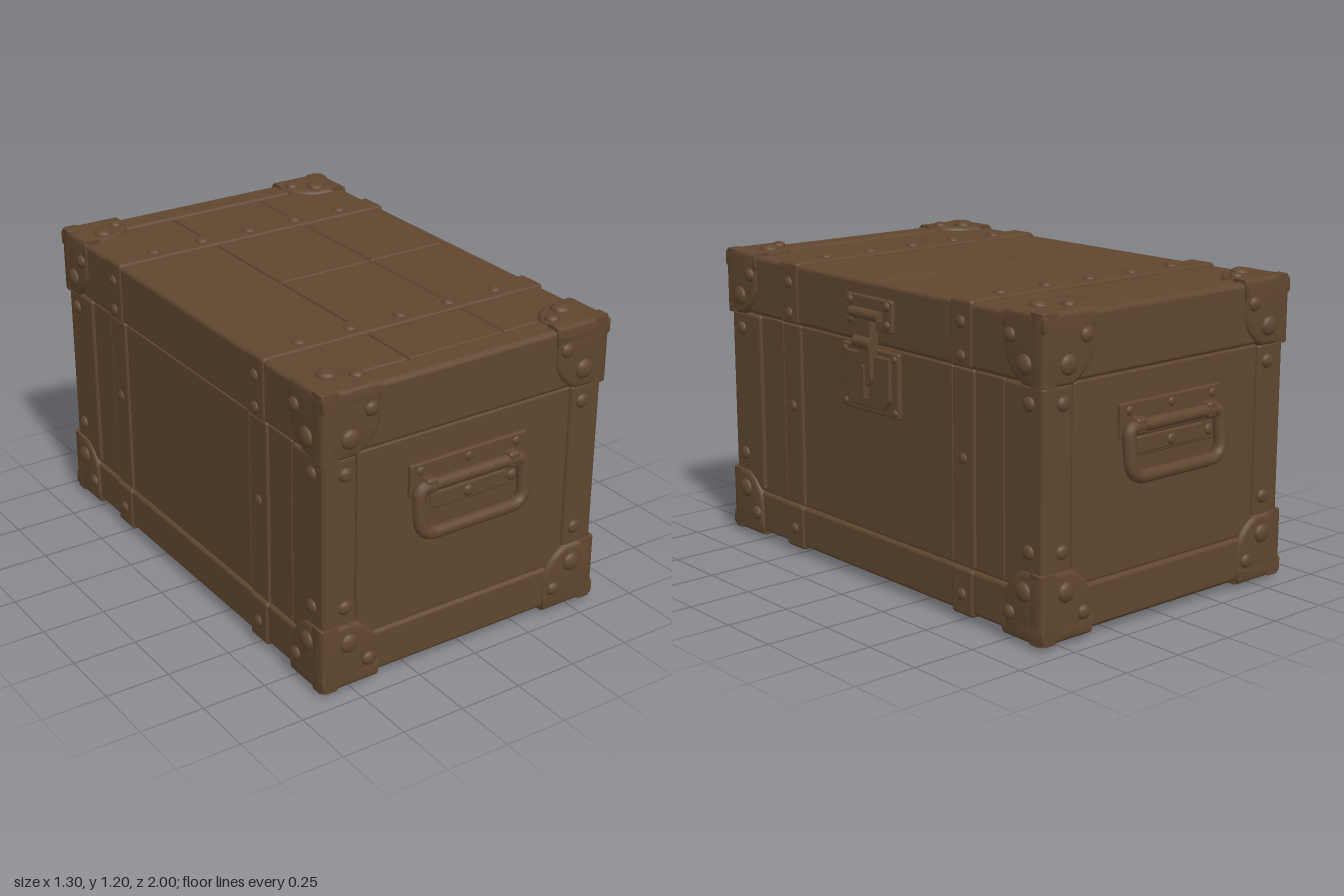
import * as THREE from 'three';
import { RoundedBoxGeometry } from 'three/addons/geometries/RoundedBoxGeometry.js';
import { toCreasedNormals } from 'three/addons/utils/BufferGeometryUtils.js';

const HX = 0.603, HZ = 0.93, Y0 = 0.03, Y1 = 1.163; // outer plank surfaces
const LID = 0.928, RAIL = 0.2, GAP = 0.004;
const CAP = 0.013, STRAP = 0.009;

export function createModel() {
  const brown = new THREE.MeshStandardMaterial({ color: 0x5f462f });
  brown.name = 'dark brown';
  const model = new THREE.Group();
  model.name = 'chest';
  const chest = new THREE.Group();
  chest.name = 'chestBody';
  chest.position.x = -0.015;
  model.add(chest);

  const add = (parent, name, geo, x = 0, y = 0, z = 0) => {
    const m = new THREE.Mesh(geo, brown);
    m.name = name;
    m.position.set(x, y, z);
    parent.add(m);
    return m;
  };

  // A face group has u = x, v = y and outward = z
  const face = (name, pos, rx, ry) => {
    const g = new THREE.Group();
    g.name = name;
    g.position.set(...pos);
    g.rotation.set(rx, ry, 0);
    chest.add(g);
    return g;
  };

  // Plate lying on a face, its outer surface at height h
  const plate = (f, name, u0, u1, v0, v1, h = 0, radius = 0.008, base = -0.04) =>
    add(f, name, new RoundedBoxGeometry(u1 - u0 - GAP, v1 - v0 - GAP, h - base, 2, radius),
      (u0 + u1) / 2, (v0 + v1) / 2, (h + base) / 2);

  // Domed rivet
  const dome = new THREE.SphereGeometry(1, 14, 6, 0, Math.PI * 2, 0, Math.PI / 2).rotateX(Math.PI / 2);
  const rivet = (f, u, v, h, r = 0.028, tall = 0.018) =>
    add(f, 'rivet', dome, u, v, h - 0.001).scale.set(r, r, tall);

  // Corner cap plate with a rounded-off inner corner; su and sv point inwards
  const cap = (f, u, v, su, sv, w, t) => {
    const b = 0.018, c = 0.1;
    const P = (x, y) => [su * x, sv * y];
    const s = new THREE.Shape();
    s.moveTo(...P(b, b));
    s.lineTo(...P(w - b, b));
    s.lineTo(...P(w - b, t - c - 0.01));
    s.quadraticCurveTo(...P(w - 0.035, t - 0.05), ...P(w - c, t - b));
    s.lineTo(...P(b, t - b));
    s.closePath();
    const geo = new THREE.ExtrudeGeometry(s, {
      depth: 0.04, bevelEnabled: true, bevelSize: b, bevelThickness: b, bevelSegments: 3, curveSegments: 6,
    });
    add(f, 'cornerCap', toCreasedNormals(geo, 0.7), u, v, CAP - 0.04 - b);
    rivet(f, u + su * w * 0.82, v + sv * 0.09, CAP);
    rivet(f, u + su * w * 0.47, v + sv * t * 0.71, CAP, 0.038, 0.02);
  };
  const caps = (f, hu, v0, v1, w, t) => {
    for (const s of [-1, 1]) {
      cap(f, s * (hu + CAP), v0 - CAP, -s, 1, w, t);
      cap(f, s * (hu + CAP), v1 + CAP, -s, -1, w, t);
    }
  };

  // Inner core, seen only in the seams
  const k = 0.013;
  add(chest, 'core', new THREE.BoxGeometry(2 * (HX - k), Y1 - Y0 - 2 * k, 2 * (HZ - k)), 0, (Y0 + Y1) / 2, 0);

  const ends = [face('frontEnd', [0, 0, HZ], 0, 0), face('backEnd', [0, 0, -HZ], 0, Math.PI)];
  const sides = [face('leftSide', [HX, 0, 0], 0, Math.PI / 2), face('rightSide', [-HX, 0, 0], 0, -Math.PI / 2)];
  const lidTop = face('lidTop', [0, Y1, 0], -Math.PI / 2, 0);
  const underside = face('underside', [0, Y0, 0], Math.PI / 2, 0);

  // End walls with carrying handles
  for (const f of ends) {
    plate(f, 'lidBand', -HX, HX, LID, Y1, 0.004, 0.016);
    plate(f, 'bottomRail', -HX, HX, Y0, RAIL, 0.002, 0.016);
    plate(f, 'endPanel', -0.465, 0.465, RAIL, LID, -0.004);
    for (const s of [-1, 1]) {
      plate(f, 'cornerPost', Math.min(s * 0.465, s * HX), Math.max(s * 0.465, s * HX), RAIL, LID, 0.001, 0.014);
      for (const y of [0.34, 0.86]) rivet(f, s * 0.515, y, 0);
    }
    caps(f, HX, Y0, Y1, 0.238, 0.255);
    addHandle(f);
  }

  // Long side walls
  for (const f of sides) {
    plate(f, 'lidBand', -HZ, HZ, LID, Y1, 0.003, 0.016);
    plate(f, 'bottomRail', -HZ, HZ, Y0, RAIL, 0.002, 0.016);
    plate(f, 'sidePanel', -0.455, 0.455, RAIL, LID, -0.005);
    for (const s of [-1, 1]) {
      const strip = (name, a, b, y0, y1, h, r) =>
        plate(f, name, Math.min(s * a, s * b), Math.max(s * a, s * b), y0, y1, h, r);
      strip('sidePanel', 0.575, 0.73, RAIL, LID, -0.005);
      strip('cornerPost', 0.73, HZ, RAIL, LID, 0.001, 0.014);
      strip('strap', 0.455, 0.575, RAIL, LID, 0);
      strip('lidStrap', 0.455, 0.575, LID, Y1 + STRAP, STRAP, 0.012);
      strip('bottomStrap', 0.455, 0.575, Y0 - STRAP, RAIL, STRAP, 0.012);
      for (const y of [0.34, 0.86]) rivet(f, s * 0.86, y, 0);
      for (const y of [0.1, 0.97, 1.09]) rivet(f, s * 0.515, y, STRAP, 0.024, 0.014);
      rivet(f, s * 0.515, 0.6, 0, 0.022, 0.012);
    }
    caps(f, HZ, Y0, Y1, 0.205, 0.255);
  }

  // Lid top and underside: planks, end rails and straps
  for (const f of [lidTop, underside]) {
    plate(f, 'plank', -HX, -0.175, -0.82, 0.82, -0.002, 0.012);
    for (const s of [-1, 1]) {
      const z0 = s < 0 ? -0.82 : 0, z1 = s < 0 ? 0 : 0.82;
      plate(f, 'plank', -0.175, 0.235, z0, z1, -0.003);
      plate(f, 'plank', 0.235, HX, z0, z1, -0.002, 0.012);
      plate(f, 'endRail', -HX, HX, s < 0 ? -HZ : 0.82, s < 0 ? -0.82 : HZ, 0.002, 0.016);
      plate(f, 'strap', -HX - STRAP, HX + STRAP, s * 0.515 - 0.06, s * 0.515 + 0.06, STRAP, 0.012);
      for (let i = -2; i <= 2; i++) rivet(f, i * 0.215, s * 0.515, STRAP, 0.027, 0.014);
    }
    caps(f, HX, -HZ, HZ, 0.238, 0.205);
  }

  // Carrying handle: mounting plate, recess frame, barrel and swinging loop
  function addHandle(f) {
    const h = new THREE.Group();
    h.name = 'carryHandle';
    f.add(h);
    plate(h, 'handlePlate', -0.255, 0.255, 0.69, 0.82, 0.012, 0.007, -0.01);
    plate(h, 'handleBackplate', -0.225, 0.225, 0.615, 0.71, 0.008, 0.006, -0.01);
    plate(h, 'handleRidge', -0.17, 0.17, 0.625, 0.69, 0.014, 0.006, -0.01);
    for (const u of [-0.2, 0, 0.2]) rivet(h, u, 0.655, u ? 0.008 : 0.014, 0.022, 0.012);
    for (const u of [-0.21, 0, 0.21]) rivet(h, u, 0.79, 0.012, 0.018, 0.01);
    add(h, 'handleBarrel', new THREE.CylinderGeometry(0.024, 0.024, 0.33, 16).rotateZ(Math.PI / 2), 0, 0.732, 0.025);
    for (const s of [-1, 1])
      add(h, 'handleClamp', new RoundedBoxGeometry(0.05, 0.062, 0.05, 2, 0.014), s * 0.18, 0.735, 0.024);
    const path = new THREE.CurvePath();
    const c = 0.065, x = 0.229, top = 0.732, low = 0.555;
    const at = (px, py) => new THREE.Vector3(px, py, 0.027 + (top - py) * 0.1);
    const pts = [[-x, top], [-x, low], [x, low], [x, top]];
    const line = (a, b) => path.add(new THREE.LineCurve3(at(...a), at(...b)));
    const bend = (a, m, b) => path.add(new THREE.QuadraticBezierCurve3(at(...a), at(...m), at(...b)));
    line([-0.17, top], [-x + 0.035, top]);
    bend([-x + 0.035, top], pts[0], [-x, top - 0.035]);
    line([-x, top - 0.035], [-x, low + c]);
    bend([-x, low + c], pts[1], [-x + c, low]);
    line([-x + c, low], [x - c, low]);
    bend([x - c, low], pts[2], [x, low + c]);
    line([x, low + c], [x, top - 0.035]);
    bend([x, top - 0.035], pts[3], [x - 0.035, top]);
    line([x - 0.035, top], [0.17, top]);
    add(h, 'handleLoop', new THREE.TubeGeometry(path, 90, 0.025, 12));
  }

  // Latch on the left side
  const latch = new THREE.Group();
  latch.name = 'latch';
  sides[0].add(latch);
  plate(latch, 'upperPlate', -0.14, 0.14, 0.985, 1.11, 0.017, 0.008, -0.01);
  plate(latch, 'lowerPlate', -0.17, 0.17, 0.67, 0.92, 0.014, 0.008, -0.01);
  const lock = new THREE.Shape([[-0.125, 0.89], [-0.125, 0.74], [-0.09, 0.7], [0.09, 0.7], [0.125, 0.74], [0.125, 0.89]]
    .map(p => new THREE.Vector2(...p)));
  add(latch, 'lockPlate', new THREE.ExtrudeGeometry(lock, {
    depth: 0.02, bevelSize: 0.006, bevelThickness: 0.006, bevelSegments: 2,
  }));
  plate(latch, 'hasp', -0.045, 0.045, 0.8, 1.05, 0.042, 0.01, 0);
  const tongue = new THREE.CylinderGeometry(0.042, 0.042, 0.042, 20).rotateX(Math.PI / 2);
  add(latch, 'haspTip', tongue, 0, 0.815, 0.021);
  plate(latch, 'keySlot', -0.01, 0.01, 0.725, 0.86, 0.049, 0.004, 0.01);
  const knuckle = (y, len, r, z) =>
    add(latch, 'hingeKnuckle', new THREE.CylinderGeometry(r, r, len, 14).rotateZ(Math.PI / 2), 0, y, z);
  knuckle(1.045, 0.17, 0.02, 0.03);
  knuckle(0.94, 0.1, 0.024, 0.037);
  for (const s of [-1, 1]) {
    for (const y of [1.015, 1.085]) rivet(latch, s * 0.11, y, 0.017, 0.018, 0.012);
    rivet(latch, s * 0.148, 0.895, 0.014, 0.015, 0.01);
    rivet(latch, s * 0.148, 0.695, 0.014, 0.015, 0.01);
  }
  return model;
}
